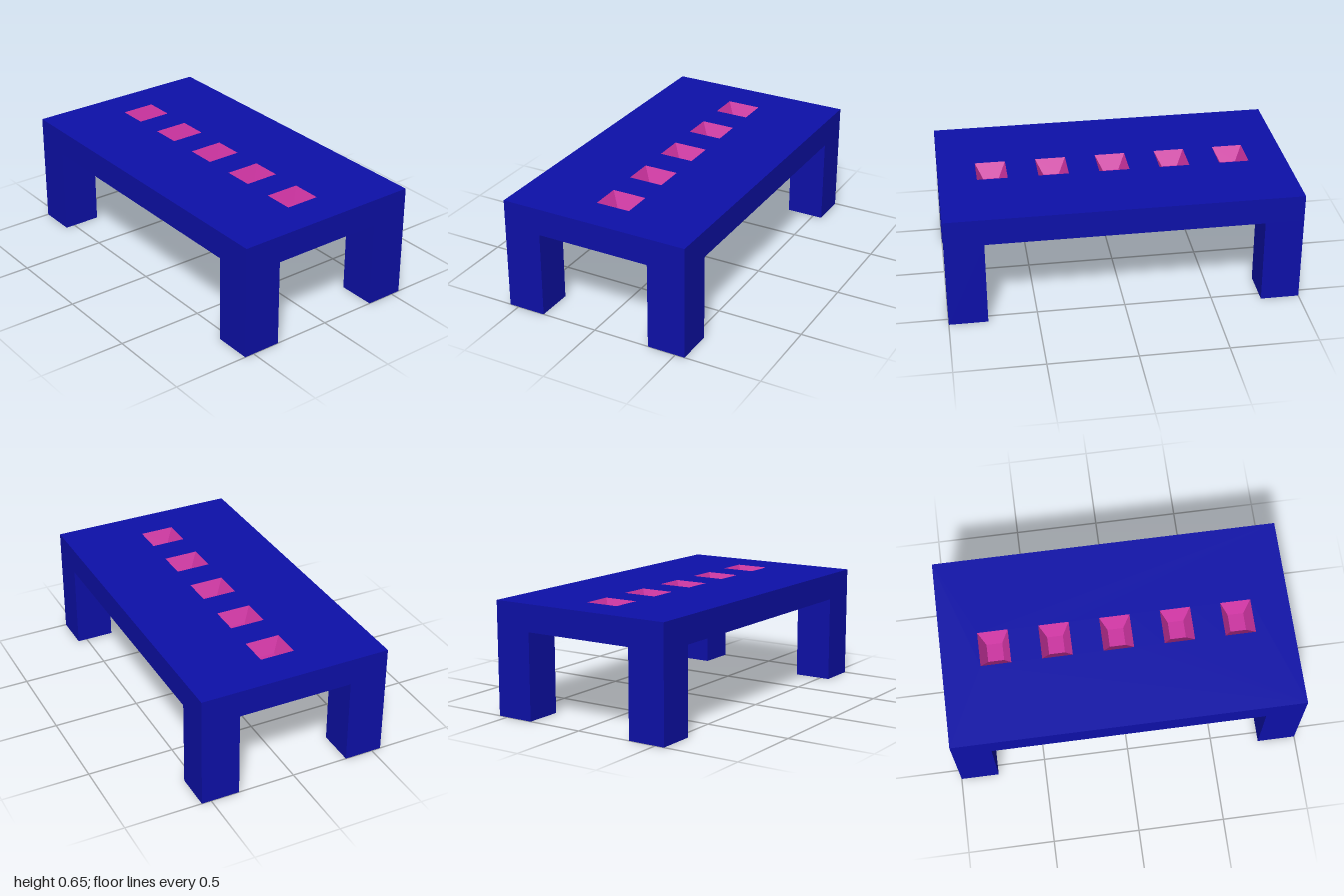
import * as THREE from 'three';

const W = 1.11, L = 2, H = 0.655, LEG_H = 0.5;   // overall size, underside height
const LEG_X = 0.222, LEG_Z = 0.22;               // leg section
const PIT_X = 0.1, PIT_Z = 0.087, PIT_D = 0.08;  // pit half sizes and depth
const FLOOR = 0.52;                              // pit floor relative to its rim
const PIT_STEP = 0.348;

const blue = new THREE.MeshStandardMaterial({ color: 0x0d10a8, flatShading: true });
const pink = new THREE.MeshStandardMaterial({ color: 0xcc33a0, flatShading: true, side: THREE.DoubleSide });

function add(parent, name, geometry, material, x = 0, y = 0, z = 0) {
  const mesh = new THREE.Mesh(geometry, material);
  mesh.name = name;
  mesh.position.set(x, y, z);
  parent.add(mesh);
  return mesh;
}

// Box without its top face
function openBox(w, h, d) {
  const g = new THREE.BoxGeometry(w, h, d);
  const index = Array.from(g.index.array);
  index.splice(12, 6);
  g.setIndex(index);
  g.clearGroups();
  return g;
}

function rectangle(path, hx, hy, cy = 0) {
  path.moveTo(-hx, cy - hy);
  path.lineTo(hx, cy - hy);
  path.lineTo(hx, cy + hy);
  path.lineTo(-hx, cy + hy);
  path.closePath();
  return path;
}

export function createModel() {
  const table = new THREE.Group();
  table.name = 'table';

  // Slab sides and underside
  add(table, 'slab', openBox(W, H - LEG_H, L), blue, 0, (H + LEG_H) / 2, 0);

  // Top surface with a row of five rectangular openings
  const top = rectangle(new THREE.Shape(), W / 2, L / 2);
  for (let i = -2; i <= 2; i++) {
    top.holes.push(rectangle(new THREE.Path(), PIT_X, PIT_Z, i * PIT_STEP));
  }
  add(table, 'topSurface', new THREE.ShapeGeometry(top).rotateX(-Math.PI / 2), blue, 0, H, 0);

  // Tapered pits sunk into the openings
  const walls = new THREE.CylinderGeometry(Math.SQRT2, Math.SQRT2 * FLOOR, PIT_D, 4, 1, true)
    .rotateY(Math.PI / 4).scale(PIT_X, 1, PIT_Z);
  const floor = new THREE.PlaneGeometry(2 * PIT_X * FLOOR, 2 * PIT_Z * FLOOR).rotateX(-Math.PI / 2);
  for (let i = -2; i <= 2; i++) {
    const pit = new THREE.Group();
    pit.name = 'pit';
    pit.position.set(0, H, i * PIT_STEP);
    add(pit, 'pitWalls', walls, pink, 0, -PIT_D / 2, 0);
    add(pit, 'pitFloor', floor, pink, 0, -PIT_D, 0);
    table.add(pit);
  }

  // Four corner legs
  const leg = openBox(LEG_X, LEG_H, LEG_Z);
  for (const sx of [-1, 1]) {
    for (const sz of [-1, 1]) {
      const name = (sz > 0 ? 'front' : 'back') + (sx > 0 ? 'Left' : 'Right') + 'Leg';
      add(table, name, leg, blue, sx * (W - LEG_X) / 2, LEG_H / 2, sz * (L - LEG_Z) / 2);
    }
  }
  return table;
}
